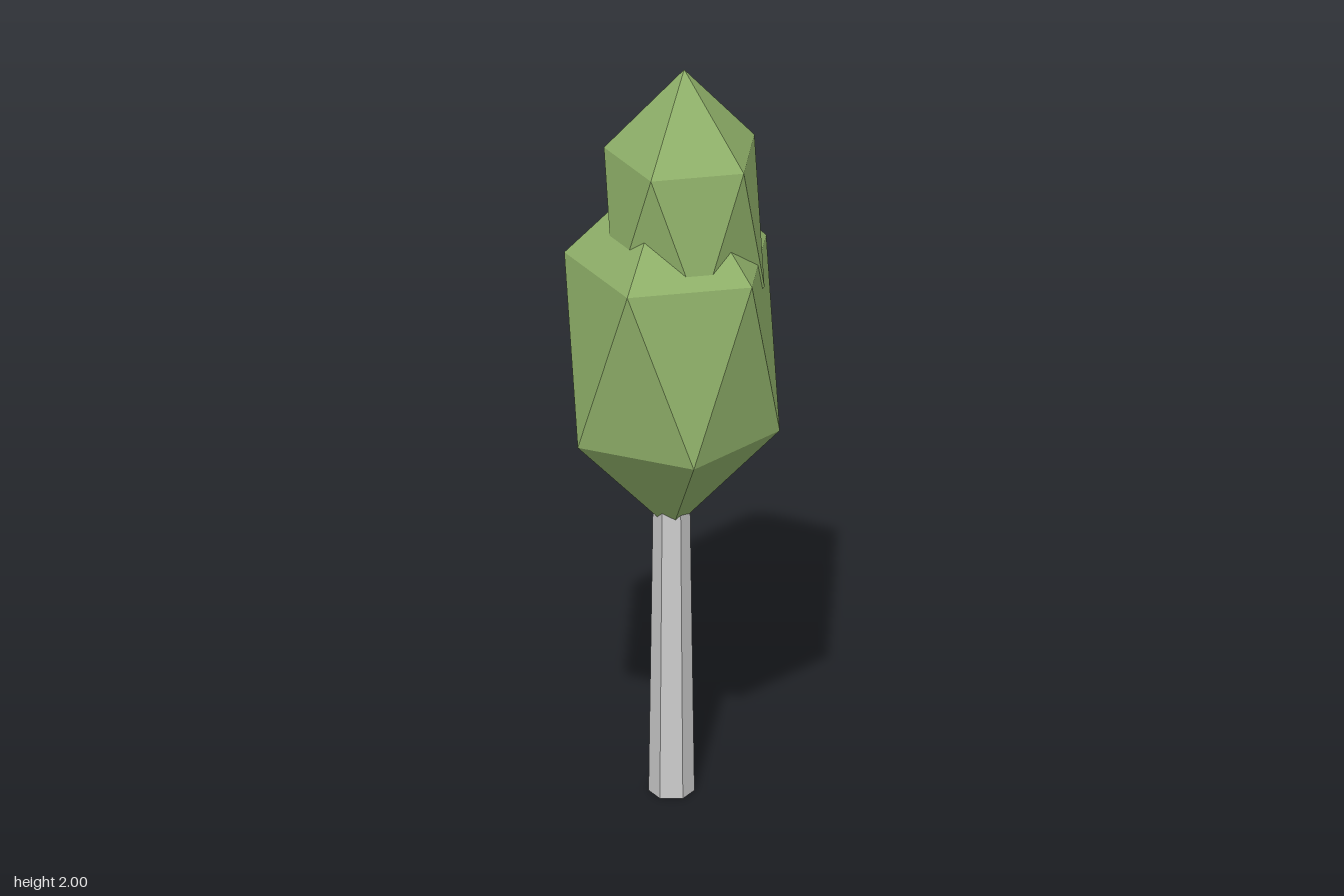
import * as THREE from 'three';

// Pole-up icosahedron stretched to a leaf clump
function leafClump(name, radius, halfHeight, position, material) {
  const geometry = new THREE.IcosahedronGeometry(1, 0);
  geometry.rotateZ(-Math.atan(2 / (1 + Math.sqrt(5)))); // bring a corner to the top
  geometry.scale(radius, halfHeight, radius);
  geometry.computeVertexNormals();
  const mesh = new THREE.Mesh(geometry, material);
  mesh.name = name;
  mesh.position.set(...position);
  return mesh;
}

export function createModel() {
  const tree = new THREE.Group();
  tree.name = 'tree';
  const bark = new THREE.MeshStandardMaterial({ color: 0xcccccc, flatShading: true });
  const leaves = new THREE.MeshStandardMaterial({ color: 0x8fb069, flatShading: true });

  // Six-sided tapering trunk, ending inside the foliage
  const trunkHeight = 1.0;
  const trunk = new THREE.Mesh(new THREE.CylinderGeometry(0.044, 0.058, trunkHeight, 6), bark);
  trunk.name = 'trunk';
  trunk.position.set(-0.002, trunkHeight / 2, 0.001);
  tree.add(trunk);

  // Large lower clump and smaller, slightly offset crown
  tree.add(leafClump('lowerFoliage', 0.306, 0.523, [0, 1.246, 0], leaves));
  tree.add(leafClump('upperFoliage', 0.228, 0.41, [0.028, 1.59, 0.013], leaves));

  return tree;
}
